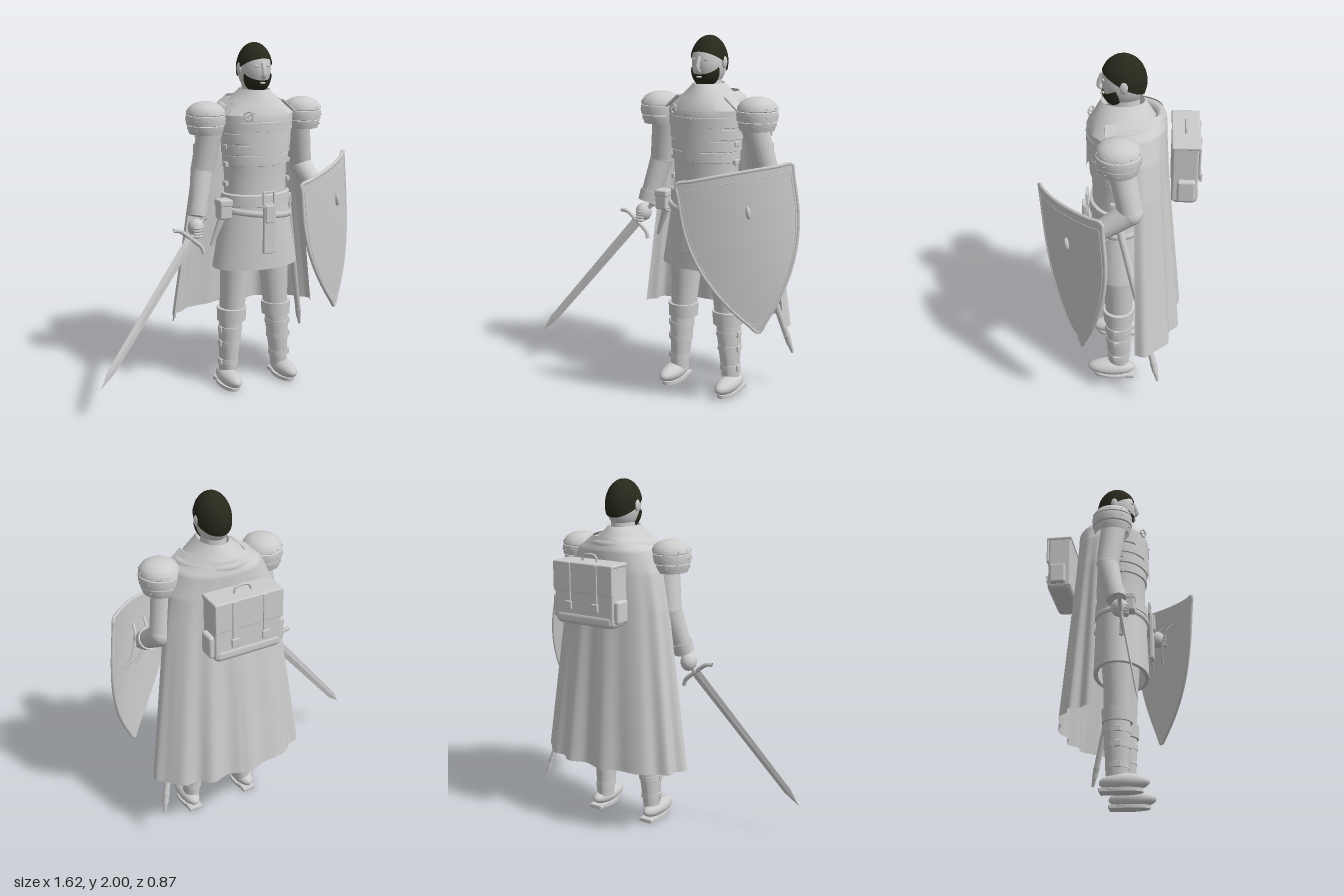
import * as THREE from 'three';
import { toCreasedNormals } from 'three/addons/utils/BufferGeometryUtils.js';
import { RoundedBoxGeometry } from 'three/addons/geometries/RoundedBoxGeometry.js';
import { ParametricGeometry } from 'three/addons/geometries/ParametricGeometry.js';

const CX = 0.214; // the body's middle
const V = (x, y, z) => new THREE.Vector3(x, y, z);

export function createModel() {
  const root = new THREE.Group();
  root.name = 'knight';
  const grey = new THREE.MeshStandardMaterial({ color: 0xcccccc, side: THREE.DoubleSide });
  grey.name = 'plain grey';
  const dark = new THREE.MeshStandardMaterial({ color: 0x28281c, side: THREE.DoubleSide });
  dark.name = 'dark hair';

  const add = (name, geo, parent = root, mat = grey) => {
    const m = new THREE.Mesh(geo, mat);
    m.name = name;
    parent.add(m);
    return m;
  };
  const group = (name, parent = root) => {
    const g = new THREE.Group();
    g.name = name;
    parent.add(g);
    return g;
  };
  const box = (name, w, h, d, x, y, z, parent = root, r = 0.006) => {
    const m = add(name, new RoundedBoxGeometry(w, h, d, 2, r), parent);
    m.position.set(x, y, z);
    return m;
  };
  const ball = (name, rx, ry, rz, x, y, z, parent = root, seg = 24) => {
    const m = add(name, new THREE.SphereGeometry(1, seg, Math.ceil(seg * 0.7)).scale(rx, ry, rz), parent);
    m.position.set(x, y, z);
    return m;
  };
  const limb = (name, a, b, ra, rb, parent = root, seg = 20) => {
    const m = add(name, new THREE.CylinderGeometry(rb, ra, a.distanceTo(b), seg), parent);
    m.position.copy(a).lerp(b, 0.5);
    m.quaternion.setFromUnitVectors(V(0, 1, 0), b.clone().sub(a).normalize());
    return m;
  };
  const tube = (name, pts, r, parent = root, closed = false, n = 32) =>
    add(name, new THREE.TubeGeometry(new THREE.CatmullRomCurve3(pts, closed, 'centripetal'), n, r, 8, closed), parent);
  // Interpolates rows whose first entry is the height
  const rowAt = (rows, t) => {
    const k = Math.min(rows.length - 2, Math.floor(t * (rows.length - 1)));
    const f = t * (rows.length - 1) - k;
    return rows[k].map((v, i) => v + (rows[k + 1][i] - v) * f);
  };
  // Closed oval sections, rows from bottom to top: [y, half width, front z, back z]
  const loft = (name, rows, parent = root, x = CX) =>
    add(name, toCreasedNormals(new ParametricGeometry((u, v, p) => {
      const [y, hw, zf, zb] = rowAt(rows, v);
      const a = u * Math.PI * 2;
      p.set(x + hw * Math.sin(a), y, (zf + zb) / 2 + (zf - zb) / 2 * Math.cos(a));
    }, 40, rows.length - 1), 0.6), parent);

  // Head, with hair and beard as sphere caps
  const head = group('head');
  ball('face', 0.089, 0.138, 0.113, CX, 1.858, -0.022, head, 32);
  const cap = (name, t0, t1, tilt, r, y, z) => {
    const g = new THREE.SphereGeometry(1, 28, 16, 0, Math.PI * 2, t0, t1 - t0).rotateX(tilt).scale(...r);
    add(name, g, head, dark).position.set(CX, y, z);
  };
  cap('hair', 0, 1.57, -0.43, [0.098, 0.145, 0.12], 1.855, -0.021);
  cap('beard', 1.48, Math.PI, 0.36, [0.082, 0.105, 0.077], 1.824, 0.017);
  tube('nose', [V(CX, 1.89, 0.086), V(CX, 1.85, 0.101), V(CX, 1.825, 0.104), V(CX, 1.81, 0.088)], 0.012, head);
  ball('lips', 0.018, 0.006, 0.01, CX, 1.782, 0.087, head, 12);
  for (const s of [-1, 1]) {
    ball('ear', 0.012, 0.033, 0.022, CX + s * 0.092, 1.858, -0.025, head, 14);
    ball('eye', 0.014, 0.007, 0.008, CX + s * 0.035, 1.875, 0.079, head, 12);
  }
  loft('neck', [[1.62, 0.075, 0.06, -0.11], [1.8, 0.062, 0.04, -0.1]], head);

  // Torso armour
  const torso = group('torso');
  loft('coat', [[1.06, 0.195, 0.15, -0.14], [1.2, 0.183, 0.145, -0.14], [1.33, 0.187, 0.15, -0.15],
    [1.46, 0.205, 0.162, -0.16], [1.59, 0.215, 0.165, -0.17], [1.64, 0.18, 0.14, -0.16]], torso);
  [[1.33, 0.192], [1.39, 0.2], [1.455, 0.207], [1.52, 0.213]].forEach(([y, w], i) => {
    const d = 0.155 + i * 0.005;
    loft('chest band', [[y - 0.004, w - 0.006, d - 0.006, -d], [y, w + 0.003, d + 0.004, -d],
      [y + 0.052, w + 0.003, d + 0.004, -d], [y + 0.06, w - 0.006, d - 0.006, -d]], torso);
  });
  // Pointed breastplate laid over the bands
  add('breastplate', new ParametricGeometry((u, v, p) => {
    const s = u * 2 - 1;
    const low = 1.325 + 0.24 * Math.abs(s);
    p.set(CX + s * 0.21, low + (1.605 - low) * v,
      -0.004 + (0.174 + 0.006 * (1 - v)) * Math.sqrt(1 - 0.93 * s * s));
  }, 32, 10), torso);
  loft('gorget', [[1.58, 0.225, 0.172, -0.2], [1.61, 0.228, 0.17, -0.21], [1.665, 0.165, 0.138, -0.18],
    [1.735, 0.085, 0.102, -0.14], [1.745, 0.078, 0.095, -0.13], [1.7, 0.07, 0.08, -0.12]], torso);
  for (let i = -2; i <= 2; i++) ball('rivet', 0.006, 0.006, 0.005, CX + i * 0.055, 1.565, 0.176 - i * i * 0.011, torso, 8);
  const brooch = add('brooch ring', new THREE.TorusGeometry(0.024, 0.005, 8, 20), torso);
  brooch.position.set(0.095, 1.612, 0.155);
  brooch.rotation.y = -0.5;
  limb('brooch pin', V(0.065, 1.595, 0.14), V(0.125, 1.63, 0.168), 0.005, 0.005, torso, 8);
  for (const s of [-1, 1]) for (const y of [1.22, 1.33, 1.43])
    box('side buckle', 0.02, 0.03, 0.045, CX + s * 0.196, y, 0.02, torso);

  // Belt, skirt and hanging gear
  loft('skirt', [[0.73, 0.235, 0.14, -0.13], [0.73, 0.262, 0.165, -0.155], [0.9, 0.232, 0.16, -0.15],
    [1.09, 0.2, 0.152, -0.145]], torso);
  loft('belt', [[1.09, 0.195, 0.15, -0.14], [1.095, 0.207, 0.164, -0.152], [1.16, 0.205, 0.162, -0.152],
    [1.165, 0.19, 0.145, -0.14]], torso);
  const sling = add('slanted belt', new THREE.TorusGeometry(1, 0.06, 8, 48).rotateX(Math.PI / 2).scale(0.212, 0.3, 0.165), torso);
  sling.position.set(CX, 1.05, 0.003);
  sling.rotation.z = -0.12;
  [[0, 0.035, 0.07, 0.01], [0, -0.035, 0.07, 0.01], [-0.033, 0, 0.01, 0.07], [0.033, 0, 0.01, 0.07]].forEach(([x, y, w, h]) =>
    box('belt buckle', w, h, 0.014, CX + x, 1.147 + y, 0.175, torso, 0.003));
  box('hanging strap', 0.075, 0.275, 0.022, CX, 0.967, 0.185, torso);
  box('strap fold', 0.06, 0.1, 0.03, CX, 1.06, 0.19, torso);
  box('pouch', 0.075, 0.105, 0.08, -0.018, 1.085, 0.075, torso, 0.012);
  box('pouch flap', 0.08, 0.04, 0.086, -0.018, 1.125, 0.075, torso, 0.01);
  limb('dagger sheath', V(-0.02, 1.03, 0.05), V(-0.08, 0.87, 0.04), 0.022, 0.01, torso, 10);
  const hip = V(0.425, 1.12, 0.0), end = V(0.66, 0.21, -0.23);
  limb('scabbard', hip, end.clone().lerp(hip, 0.06), 0.02, 0.017, torso, 10);
  limb('scabbard tip', end.clone().lerp(hip, 0.12), end, 0.02, 0.008, torso, 10);
  limb('scabbard mouth', hip, hip.clone().lerp(end, 0.06), 0.026, 0.024, torso, 10);

  // Legs, mirrored
  for (const s of [-1, 1]) {
    const leg = group(s < 0 ? 'rightLeg' : 'leftLeg');
    const at = (dx) => CX + s * dx;
    const sec = (name, rows) => { // [y, offset, half width, half depth]
      const m = loft(name, rows.map(([y, , w, d]) => [y, w, d, -d]), leg, 0);
      const pos = m.geometry.attributes.position;
      const [a, b] = [rows[0], rows[rows.length - 1]];
      for (let i = 0; i < pos.count; i++) {
        const t = (pos.getY(i) - a[0]) / (b[0] - a[0]);
        pos.setX(i, pos.getX(i) + at(a[1] + (b[1] - a[1]) * t));
      }
    };
    sec('thigh', [[0.44, 0.145, 0.07, 0.075], [0.6, 0.14, 0.08, 0.08], [0.85, 0.115, 0.095, 0.1]]);
    sec('knee cuff', [[0.4, 0.147, 0.066, 0.07], [0.401, 0.147, 0.084, 0.085], [0.478, 0.146, 0.087, 0.088], [0.48, 0.146, 0.066, 0.07]]);
    sec('greave', [[0.07, 0.172, 0.047, 0.058], [0.2, 0.164, 0.056, 0.066], [0.34, 0.155, 0.067, 0.075], [0.42, 0.15, 0.066, 0.073]]);
    [[0.15, 0.167, 0.054], [0.265, 0.16, 0.062], [0.35, 0.155, 0.067]].forEach(([y, dx, w]) => {
      sec('greave strap', [[y - 0.016, dx, w - 0.008, w], [y - 0.015, dx, w + 0.003, w + 0.011],
        [y + 0.015, dx, w + 0.003, w + 0.011], [y + 0.016, dx, w - 0.008, w]]);
      box('strap buckle', 0.014, 0.035, 0.036, at(dx + w + 0.002), y, 0.01, leg, 0.004);
    });
    const foot = group('foot', leg);
    foot.position.set(at(0.183), 0, 0.042);
    ball('shoe', 0.056, 0.048, 0.138, 0, 0.058, 0, foot);
    const sole = add('sole', new THREE.CylinderGeometry(1, 1, 0.02, 28).scale(0.053, 1, 0.118), foot);
    sole.position.set(0, 0.011, -0.015);
    box('heel', 0.085, 0.025, 0.08, 0, 0.0125, -0.095, foot);
  }

  // Shoulder guards: broad stepped domes with rivets
  const dome = [[0.092, 0], [0.101, 0.03], [0.103, 0.046], [0.098, 0.049], [0.108, 0.052], [0.111, 0.08], [0.11, 0.102],
    [0.104, 0.105], [0.109, 0.109], [0.104, 0.128], [0.09, 0.149], [0.064, 0.166], [0.033, 0.175], [0, 0.178]]
    .map(([r, y]) => new THREE.Vector2(r, y));
  for (const s of [-1, 1]) {
    const g = group(s < 0 ? 'rightShoulderGuard' : 'leftShoulderGuard');
    g.position.set(CX + s * 0.304, 1.508, -0.008);
    add('plates', toCreasedNormals(new THREE.LatheGeometry(dome, 40).scale(1, 1, 1.06), 0.7), g);
    for (const [r, y] of [[0.1, 0.025], [0.11, 0.077], [0.106, 0.122]]) for (let i = -2; i <= 2; i++) {
      const a = s * Math.PI / 2 + i * 0.62;
      ball('rivet', 0.005, 0.005, 0.005, r * Math.sin(a), y, 1.06 * r * Math.cos(a), g, 8);
    }
    const plate = box('collar guard', 0.012, 0.12, 0.2, CX + s * 0.19, 1.64, -0.03, torso, 0.005);
    plate.rotation.z = s * 0.85;
  }

  // Arms
  const arm = (name, sh, el, wr, hand) => {
    const g = group(name);
    limb('upper arm', sh, el, 0.074, 0.066, g);
    ball('elbow', 0.067, 0.067, 0.067, el.x, el.y, el.z, g);
    limb('forearm', el, wr, 0.066, 0.05, g);
    limb('cuff', wr.clone().lerp(el, 0.24), wr, 0.062, 0.057, g);
    ball('hand', 0.045, 0.052, 0.05, hand.x, hand.y, hand.z, g);
    const d = hand.clone().sub(wr).normalize();
    for (let i = 0; i < 4; i++) {
      const c = hand.clone().add(V(0, 0.014 - i * 0.016, 0.032)).addScaledVector(d, 0.01);
      ball('finger', 0.03, 0.01, 0.019, c.x, c.y, c.z, g, 10);
    }
  };
  arm('rightArm', V(-0.055, 1.58, -0.005), V(-0.1, 1.3, -0.035), V(-0.16, 1.05, 0.025), V(-0.176, 0.99, 0.045));
  arm('leftArm', V(0.485, 1.58, -0.005), V(0.55, 1.28, -0.07), V(0.565, 1.14, 0.13), V(0.565, 1.11, 0.185));

  // Sword, built along +y and then aimed
  const sword = group('sword');
  const dir = V(-0.59, -0.725, 0.152).normalize();
  const flat = V(0, 0, 1).addScaledVector(dir, -dir.z).normalize();
  sword.quaternion.setFromRotationMatrix(new THREE.Matrix4().makeBasis(dir.clone().cross(flat), dir, flat));
  sword.position.set(-0.215, 0.93, 0.06);
  const diamond = (name, r1, r0, y0, y1) =>
    add(name, toCreasedNormals(new THREE.CylinderGeometry(r1, r0, y1 - y0, 4).scale(1, 1, 0.2), 0.3), sword).position.set(0, (y0 + y1) / 2, 0);
  diamond('blade', 0.023, 0.03, 0, 0.85);
  diamond('blade tip', 0.001, 0.023, 0.85, 0.953);
  box('blade groove', 0.008, 0.5, 0.0125, 0, 0.28, 0, sword, 0.003);
  tube('crossguard', [V(-0.118, 0.02, 0), V(-0.085, 0, 0), V(0, -0.003, 0), V(0.085, 0, 0), V(0.118, 0.02, 0)], 0.012, sword);
  limb('grip', V(0, 0, 0), V(0, -0.14, 0), 0.015, 0.013, sword, 12);
  ball('pommel', 0.022, 0.022, 0.016, 0, -0.15, 0, sword, 16);

  // Shield: a curved heater outline with rim, boss and arm straps
  const shield = group('shield');
  const up = V(-0.12, 0.85, 0.07).normalize();
  const side = V(0.495, 0.1, -0.37).normalize();
  shield.quaternion.setFromRotationMatrix(new THREE.Matrix4().makeBasis(side, up, side.clone().cross(up).normalize()));
  shield.position.set(0.52, 1.31, 0.245);
  const half = (t) => 0.305 * (1 - (Math.max(0, t - 0.2) / 0.8) ** 2.1);
  const onShield = (s, t, lift) => {
    const x = s * half(t);
    return V(x, -0.862 * t + 0.012 * (1 - s * s) * (1 - t), 0.05 * (1 - (x / 0.305) ** 2) * (1 - 0.6 * t * t) + lift);
  };
  for (const [name, lift] of [['shield face', 0.006], ['shield back', -0.01]])
    add(name, new ParametricGeometry((u, v, p) => p.copy(onShield(u * 2 - 1, 1 - v, lift)), 20, 32), shield);
  for (const [name, k, r, lift] of [['shield rim', 1, 0.01, 0], ['shield inner line', 0.95, 0.002, 0.006]]) {
    const edge = [];
    for (let i = 0; i <= 8; i++) edge.push(onShield(k * (i / 4 - 1), 1 - k, lift));
    for (let i = 1; i < 16; i++) edge.push(onShield(k, (1 - k) + (2 * k - 1) * i / 16, lift));
    edge.push(onShield(0, k, lift));
    for (let i = 15; i > 0; i--) edge.push(onShield(-k, (1 - k) + (2 * k - 1) * i / 16, lift));
    tube(name, edge, r, shield, true, 140);
  }
  ball('shield boss', 0.014, 0.036, 0.014, 0.035, -0.2, 0.06, shield, 16);
  for (const x of [-0.02, 0.1])
    tube('arm strap', [V(x - 0.05, -0.12, 0.025), V(x - 0.02, -0.17, -0.01), V(x + 0.02, -0.3, -0.01), V(x + 0.05, -0.36, 0.018)], 0.008, shield);

  // Cape: open sections round the back, folds deepening to the hem [y, half width, edge z, back z]
  const capeRows = [[0.4, 0.46, -0.1, -0.335], [0.7, 0.42, -0.095, -0.31], [1.0, 0.38, -0.09, -0.285],
    [1.3, 0.34, -0.085, -0.26], [1.5, 0.3, -0.07, -0.25], [1.62, 0.25, -0.04, -0.248], [1.7, 0.14, -0.03, -0.225]];
  add('cape', new ParametricGeometry((u, v, p) => {
    const [y, hw, ze, zb] = rowAt(capeRows, v);
    const a = (u - 0.5) * Math.PI;
    const f = 0.055 * Math.max(0, 1 - v * 1.2);
    const k = f * Math.sin(a * 13) + f * 0.5 * Math.sin(a * 17 + 1);
    const soft = (w) => Math.sign(w) * Math.abs(w) ** 0.88;
    p.set(CX - hw * soft(Math.sin(a)) * (1 + k * 0.4), y, ze + (zb - ze) * soft(Math.max(0, Math.cos(a))) * (1 + k));
  }, 110, 30));
  const fold = [];
  for (let i = 0; i <= 10; i++) {
    const a = (i / 10 - 0.5) * 3.3;
    fold.push(V(CX + 0.19 * Math.sin(a), 1.635 + 0.025 * Math.cos(a), -0.215 * Math.cos(a)));
  }
  tube('cape collar fold', fold, 0.027);

  // Backpack
  const pack = group('backpack');
  box('pack body', 0.385, 0.32, 0.135, CX, 1.415, -0.342, pack, 0.012);
  box('pack lid', 0.392, 0.02, 0.15, CX, 1.575, -0.346, pack, 0.008);
  box('pack flap', 0.39, 0.16, 0.012, CX, 1.5, -0.415, pack, 0.005);
  box('bottom roll', 0.385, 0.075, 0.14, CX, 1.275, -0.345, pack, 0.03);
  tube('pack handle', [V(0.165, 1.58, -0.345), V(0.18, 1.615, -0.345), V(0.25, 1.615, -0.345), V(0.265, 1.58, -0.345)], 0.007, pack);
  for (const s of [-1, 1]) {
    box('side pocket', 0.04, 0.125, 0.095, CX + s * 0.2, 1.33, -0.35, pack, 0.014);
    box('pack strap', 0.024, 0.25, 0.01, CX + s * 0.088, 1.455, -0.421, pack, 0.004);
    box('pack buckle', 0.042, 0.045, 0.014, CX + s * 0.088, 1.35, -0.428, pack, 0.004);
  }
  return root;
}
